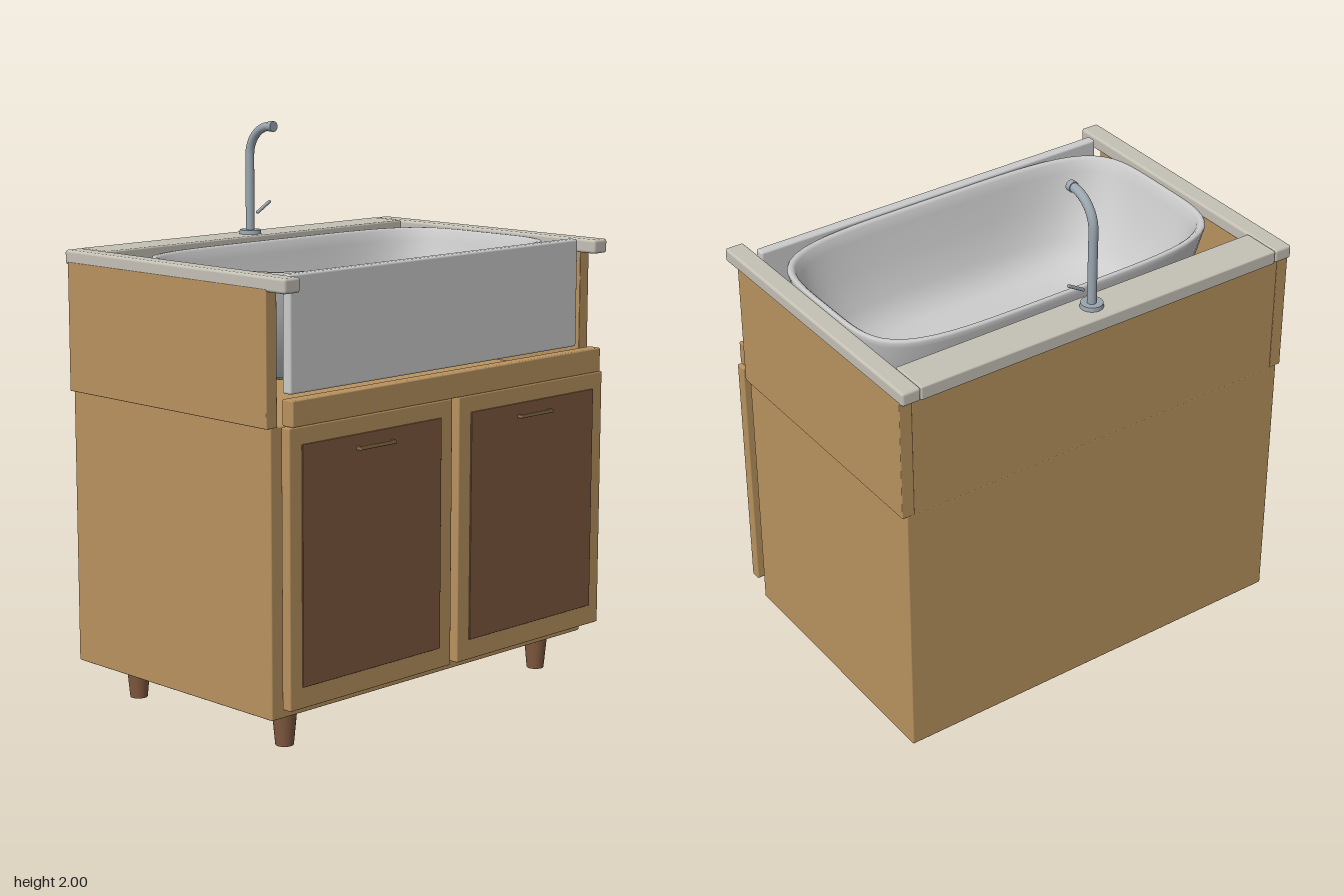
import * as THREE from 'three';
import { RoundedBoxGeometry } from 'three/addons/geometries/RoundedBoxGeometry.js';

const paint = (color) => new THREE.MeshStandardMaterial({ color });
const wood = paint(0xb8925f);
const darkWood = paint(0x80593f);
const stone = paint(0xc4c0b5);
const ceramic = paint(0xcccccc);
const metal = paint(0x9aa6b0);
const brass = paint(0x8a6f45);

function add(parent, name, geometry, material, x = 0, y = 0, z = 0) {
  const mesh = new THREE.Mesh(geometry, material);
  mesh.name = name;
  mesh.position.set(x, y, z);
  parent.add(mesh);
  return mesh;
}

// Box given by its limits on each axis, with softened edges
function slab(parent, name, material, [x0, x1], [y0, y1], [z0, z1], radius = 0.005) {
  const geometry = new RoundedBoxGeometry(x1 - x0, y1 - y0, z1 - z0, 2, radius);
  return add(parent, name, geometry, material, (x0 + x1) / 2, (y0 + y1) / 2, (z0 + z1) / 2);
}

// Closed bowl lofted through rounded rings of [half width, half depth, height, squareness]
function basinGeometry() {
  const rings = [
    [0.001, 0.001, 1.17, 2.5], [0.42, 0.2, 1.17, 3], [0.54, 0.28, 1.2, 3.4],
    [0.62, 0.335, 1.28, 3.8], [0.68, 0.375, 1.43, 4.3], [0.705, 0.393, 1.55, 4.6],
    [0.71, 0.396, 1.568, 4.6], [0.706, 0.392, 1.576, 4.6], [0.695, 0.382, 1.577, 4.6],
    [0.685, 0.373, 1.568, 4.6], [0.675, 0.364, 1.53, 4.5], [0.645, 0.345, 1.42, 4.2],
    [0.59, 0.31, 1.3, 3.8], [0.54, 0.275, 1.245, 3.5], [0.47, 0.235, 1.215, 3.2],
    [0.38, 0.18, 1.202, 3], [0.2, 0.1, 1.198, 2.7], [0.001, 0.001, 1.196, 2.5],
  ];
  const sides = 96;
  const positions = [];
  const indices = [];
  rings.forEach(([rx, rz, y, n], r) => {
    for (let i = 0; i < sides; i++) {
      const a = (i / sides) * Math.PI * 2;
      const c = Math.cos(a);
      const s = Math.sin(a);
      const k = Math.pow(Math.abs(c) ** n + Math.abs(s) ** n, -1 / n);
      positions.push(c * k * rx, y, s * k * rz);
      if (r === rings.length - 1) continue;
      const j = (i + 1) % sides;
      const p = r * sides;
      const q = p + sides;
      indices.push(p + i, q + i, p + j, p + j, q + i, q + j);
    }
  });
  const geometry = new THREE.BufferGeometry();
  geometry.setAttribute('position', new THREE.Float32BufferAttribute(positions, 3));
  geometry.setIndex(indices);
  geometry.computeVertexNormals();
  return geometry;
}

// Framed door with a dark inset and a small bar handle
function makeDoor(side) {
  const door = new THREE.Group();
  door.name = side > 0 ? 'leftDoor' : 'rightDoor';
  const span = (a, b) => (side > 0 ? [a, b] : [-b, -a]);
  slab(door, 'doorFrame', wood, span(0.016, 0.774), [0.18, 1.11], [0.497, 0.536]);
  slab(door, 'doorPanel', darkWood, span(0.075, 0.72), [0.252, 1.052], [0.51, 0.541], 0.002);
  slab(door, 'handleBar', brass, span(0.31, 0.48), [1.001, 1.013], [0.552, 0.562], 0.003);
  for (const x of [0.316, 0.474]) {
    slab(door, 'handlePost', brass, span(x - 0.006, x + 0.006), [1.001, 1.013], [0.535, 0.56], 0.002);
  }
  return door;
}

function makeFaucet() {
  const faucet = new THREE.Group();
  faucet.name = 'faucet';
  const z = -0.483;
  const bend = 0.11;
  add(faucet, 'faucetBase', new THREE.CylinderGeometry(0.038, 0.04, 0.016, 32), metal, 0, 1.593, z);

  // Upright with a quarter bend towards the basin
  const points = [1.59, 1.66, 1.73, 1.8].map((y) => new THREE.Vector3(0, y, z));
  for (let i = 0; i <= 8; i++) {
    const a = (i / 8) * Math.PI / 2;
    points.push(new THREE.Vector3(0, 1.868 + bend * Math.sin(a), z + bend * (1 - Math.cos(a))));
  }
  const path = new THREE.CatmullRomCurve3(points);
  add(faucet, 'faucetPipe', new THREE.TubeGeometry(path, 48, 0.016, 20), metal);
  const tip = add(faucet, 'faucetTip', new THREE.CylinderGeometry(0.019, 0.019, 0.02, 24), metal, 0, 1.978, -0.366);
  tip.rotation.x = Math.PI / 2;
  const lever = add(faucet, 'faucetLever', new RoundedBoxGeometry(0.078, 0.011, 0.011, 2, 0.004), metal, 0.066, 1.678, z);
  lever.rotation.z = 0.53;
  return faucet;
}

export function createModel() {
  const model = new THREE.Group();
  model.name = 'sinkCabinet';

  // Cabinet carcass and front rail
  slab(model, 'cabinetBody', wood, [-0.775, 0.775], [0.13, 1.1], [-0.545, 0.45]);
  slab(model, 'frontRail', wood, [-0.76, 0.76], [1.11, 1.197], [0.488, 0.538]);
  slab(model, 'backPanel', wood, [-0.746, 0.746], [1.095, 1.54], [-0.545, -0.5], 0.003);

  for (const side of [-1, 1]) {
    const span = (a, b) => (side > 0 ? [a, b] : [-b, -a]);
    // Upper sides and the worktop strips resting on them
    slab(model, 'sidePanel', wood, span(0.745, 0.792), [1.097, 1.545], [-0.545, 0.45], 0.003);
    slab(model, 'sideWorktop', stone, span(0.72, 0.791), [1.536, 1.586], [-0.562, 0.535], 0.01);
    model.add(makeDoor(side));
    for (const z of [0.36, -0.39]) {
      add(model, 'leg', new THREE.CylinderGeometry(0.044, 0.031, 0.135, 24), darkWood, side * 0.635, 0.0675, z);
    }
  }
  slab(model, 'backWorktop', stone, [-0.72, 0.72], [1.536, 1.586], [-0.562, -0.417], 0.006);

  // Sink
  slab(model, 'sinkApron', ceramic, [-0.706, 0.706], [1.2, 1.586], [0.432, 0.47], 0.008);
  add(model, 'sinkBasin', basinGeometry(), ceramic, 0, 0, 0.04);
  const ring = add(model, 'drainRing', new THREE.TorusGeometry(0.027, 0.004, 10, 32), metal, 0, 1.2, 0.04);
  ring.rotation.x = Math.PI / 2;
  add(model, 'drainPlug', new THREE.CylinderGeometry(0.025, 0.025, 0.006, 32), metal, 0, 1.198, 0.04);

  model.add(makeFaucet());
  return model;
}
